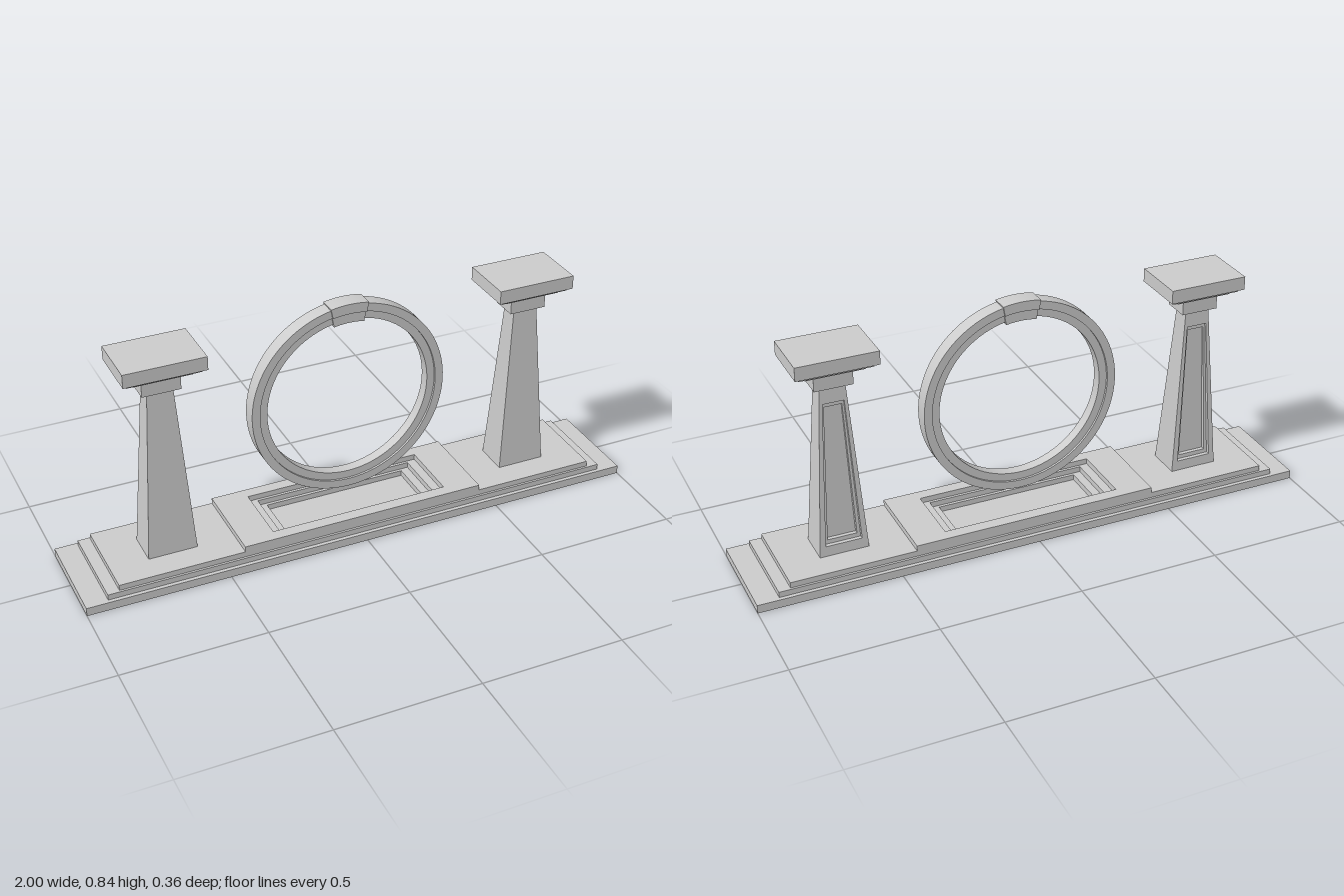
import * as THREE from 'three';
import { toCreasedNormals } from 'three/addons/utils/BufferGeometryUtils.js';

const material = new THREE.MeshStandardMaterial({ color: 0xcccccc });

function add(parent, name, geometry) {
  const mesh = new THREE.Mesh(geometry, material);
  mesh.name = name;
  parent.add(mesh);
  return mesh;
}

// Box given by half sizes in x and z and by its bottom and top
function block(parent, name, hx, hz, y0, y1) {
  add(parent, name, new THREE.BoxGeometry(2 * hx, y1 - y0, 2 * hz)).position.y = (y0 + y1) / 2;
}

function rect(path, hx, y0, y1) {
  path.moveTo(-hx, y0).lineTo(hx, y0).lineTo(hx, y1).lineTo(-hx, y1).closePath();
  return path;
}

// Plate in the xy plane, z0 to z1, with an optional rectangular opening
function plate([hx, y0, y1], hole, z0, z1) {
  const shape = rect(new THREE.Shape(), hx, y0, y1);
  if (hole) shape.holes.push(rect(new THREE.Path(), ...hole));
  return new THREE.ExtrudeGeometry(shape, { depth: z1 - z0, bevelEnabled: false }).translate(0, 0, z0);
}

// Horizontal slab with a rectangular opening
function openSlab(parent, name, hx, hz, holeX, holeZ, y0, y1) {
  const g = plate([hx, -hz, hz], [holeX, -holeZ, holeZ], y0, y1);
  add(parent, name, g.rotateX(-Math.PI / 2));
}

// Taper a unit plate (x, z in -1..1, y in 0..1) into the pillar shaft
function taper(g) {
  const p = g.attributes.position;
  for (let i = 0; i < p.count; i++) {
    const t = p.getY(i);
    p.setXYZ(i, p.getX(i) * THREE.MathUtils.lerp(0.086, 0.044, t),
      THREE.MathUtils.lerp(0.07, 0.68, t),
      p.getZ(i) * THREE.MathUtils.lerp(0.062, 0.031, t));
  }
  g.computeVertexNormals();
  return g;
}

function makePillar() {
  const pillar = new THREE.Group();
  const face = [1, 0, 1];
  // Shaft, with a two-step sunken panel in the back face
  add(pillar, 'shaftCore', taper(plate(face, null, -0.52, 1)));
  add(pillar, 'shaftInnerFrame', taper(plate(face, [0.62, 0.085, 0.88], -0.76, -0.52)));
  add(pillar, 'shaftOuterFrame', taper(plate(face, [0.76, 0.06, 0.905], -1, -0.76)));
  // Stepped capital
  block(pillar, 'capitalNeck', 0.066, 0.048, 0.68, 0.737);
  block(pillar, 'capitalLowerStep', 0.1, 0.07, 0.737, 0.748);
  block(pillar, 'capitalUpperStep', 0.125, 0.086, 0.748, 0.759);
  block(pillar, 'capitalTop', 0.14, 0.101, 0.759, 0.807);
  return pillar;
}

// Closed [radius, z] profile swept around the z axis, centred on the top for arcs
function sweep(profile, segments, angle) {
  const points = [...profile, profile[0]].map(([r, z]) => new THREE.Vector2(r, z));
  const g = new THREE.LatheGeometry(points, segments, Math.PI - angle / 2, angle);
  return toCreasedNormals(g.rotateX(Math.PI / 2), 0.5);
}

// Flat end of a swept arc
function arcEnd(profile, angle) {
  const g = new THREE.ShapeGeometry(new THREE.Shape(profile.map(([r, z]) => new THREE.Vector2(z, r))));
  return g.rotateY(Math.sign(angle) * Math.PI / 2).rotateZ(-angle);
}

export function createModel() {
  const model = new THREE.Group();
  model.name = 'ringMonument';

  // Stepped base with a sunken stepped basin
  const base = new THREE.Group();
  base.name = 'base';
  model.add(base);
  block(base, 'bottomSlab', 1, 0.179, 0, 0.03);
  openSlab(base, 'middleSlab', 0.922, 0.165, 0.26, 0.093, 0.03, 0.05);
  openSlab(base, 'topSlab', 0.88, 0.157, 0.29, 0.104, 0.05, 0.07);
  openSlab(base, 'centrePlinth', 0.44, 0.157, 0.322, 0.114, 0.07, 0.09);

  // Pair of pillars
  for (const side of [1, -1]) {
    const pillar = makePillar();
    pillar.name = side > 0 ? 'leftPillar' : 'rightPillar';
    pillar.position.x = 0.66 * side;
    model.add(pillar);
  }

  // Ring with a narrower inner band
  const ring = new THREE.Group();
  ring.name = 'ring';
  ring.position.y = 0.485;
  model.add(ring);
  const ringProfile = [[0.294, -0.019], [0.322, -0.019], [0.322, -0.027], [0.351, -0.027],
    [0.351, 0.027], [0.322, 0.027], [0.322, 0.019], [0.294, 0.019]];
  add(ring, 'ringBand', sweep(ringProfile, 128, Math.PI * 2));

  // Curved clasp at the crown
  const clasp = [[0.286, -0.025], [0.322, -0.025], [0.322, -0.032], [0.357, -0.032],
    [0.357, 0.032], [0.322, 0.032], [0.322, 0.025], [0.286, 0.025]];
  add(ring, 'crownClasp', sweep(clasp, 10, 0.38));
  for (const side of [1, -1]) add(ring, 'claspEnd', arcEnd(clasp, 0.19 * side));
  return model;
}
